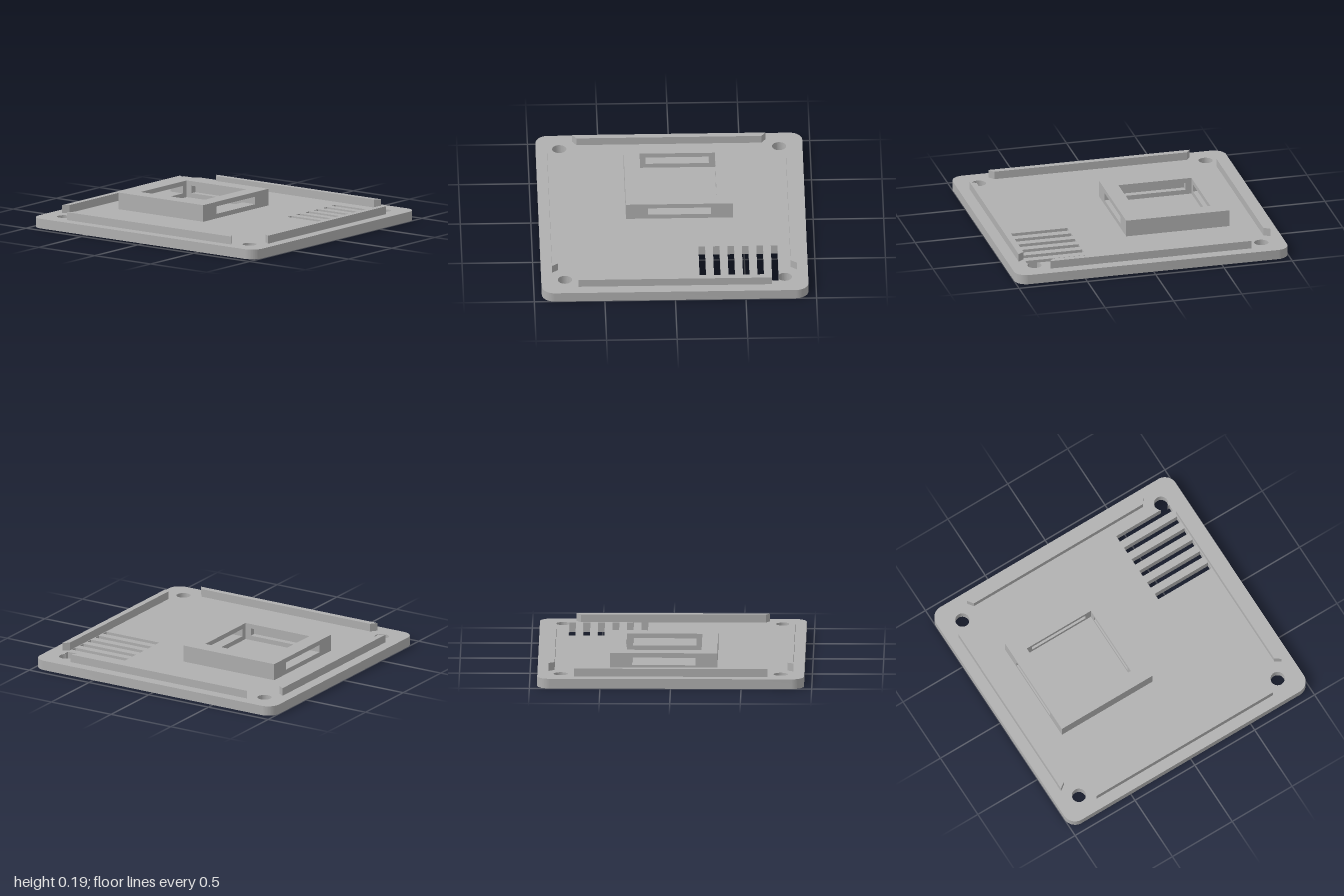
import * as THREE from 'three';
import { toCreasedNormals } from 'three/addons/utils/BufferGeometryUtils.js';

const PLATE_H = 0.07, RAIL_H = 0.057;

// Closed outline from [x, -z] points
const outline = (pts, Type = THREE.Shape) => new Type(pts.map(p => new THREE.Vector2(...p)));
const rect = (x0, x1, y0, y1, Type) => outline([[x0, y0], [x1, y0], [x1, y1], [x0, y1]], Type);

export function createModel() {
  const model = new THREE.Group();
  const grey = new THREE.MeshStandardMaterial({ color: 0xb0b0b0 });
  grey.name = 'grey plastic';

  // Extrude a floor plan upwards from y0 to y1
  function slab(name, shapes, y0, y1, parent = model) {
    let geo = new THREE.ExtrudeGeometry(shapes, { depth: y1 - y0, bevelEnabled: false, curveSegments: 16 });
    geo.rotateX(-Math.PI / 2);
    geo.translate(0, y0, 0);
    geo = toCreasedNormals(geo, 0.5);
    const mesh = new THREE.Mesh(geo, grey);
    mesh.name = name;
    parent.add(mesh);
    return mesh;
  }

  // Base plate with rounded corners
  const W = 1, D = 0.945, R = 0.09;
  const plate = new THREE.Shape();
  [[1, 1, 0], [-1, 1, 1], [-1, -1, 2], [1, -1, 3]].forEach(([sx, sy, q]) =>
    plate.absarc(sx * (W - R), sy * (D - R), R, q * Math.PI / 2, (q + 1) * Math.PI / 2, false));

  // Three plain screw holes
  const hx = 0.83, hy = 0.779, hr = 0.0505;
  for (const [sx, sy] of [[-1, 1], [-1, -1], [1, -1]]) {
    plate.holes.push(new THREE.Path().absarc(sx * hx, sy * hy, hr, 0, Math.PI * 2, true));
  }

  // Vent slots; the rearmost one runs into the fourth screw hole
  const s0 = 0.43, s1 = 0.873, slotW = 0.048, top = 0.737, pitch = 0.1026;
  for (let i = 1; i < 6; i++) {
    const y = top - i * pitch;
    plate.holes.push(rect(s0, s1, y - slotW, y, THREE.Path));
  }
  const a = Math.asin((hy - top) / hr);
  const merged = new THREE.Path();
  merged.moveTo(s0, top - slotW);
  merged.lineTo(s1, top - slotW);
  merged.lineTo(s1, top);
  merged.absarc(hx, hy, hr, -a, Math.PI + a, false);
  merged.lineTo(s0, top);
  merged.closePath();
  plate.holes.push(merged);
  slab('basePlate', plate, 0, PLATE_H);

  // Mitred rails along the four edges
  for (const s of [1, -1]) {
    slab(s > 0 ? 'backRail' : 'frontRail', outline(
      [[-0.737, s * 0.867], [0.737, s * 0.867], [0.705, s * 0.824], [-0.705, s * 0.824]]),
    PLATE_H, PLATE_H + RAIL_H);
    slab(s > 0 ? 'leftRail' : 'rightRail', outline(
      [[s * 0.921, -0.685], [s * 0.921, 0.685], [s * 0.878, 0.655], [s * 0.878, -0.655]]),
    PLATE_H, PLATE_H + RAIL_H);
  }

  // Square frame: solid rings below and above a slotted middle layer
  const frame = new THREE.Group();
  frame.name = 'squareFrame';
  model.add(frame);
  const cx = -0.312, cy = 0.051, o = 0.379, n = 0.267, g = 0.224, deep = 0.045;
  const ring = rect(cx - o, cx + o, cy - o, cy + o);
  ring.holes.push(rect(cx - n, cx + n, cy - n, cy + n, THREE.Path));
  slab('frameBottom', ring, PLATE_H, 0.103, frame);
  slab('frameTop', ring, 0.157, 0.19, frame);
  // Middle layer: open to both sides, with a blind groove in the front and back walls
  const halves = [1, -1].map(s => outline([
    [-o, g], [-n, g], [-n, n], [-g, n], [-g, n + deep], [g, n + deep],
    [g, n], [n, n], [n, g], [o, g], [o, o], [-o, o],
  ].map(([x, y]) => [cx + x, cy + s * y])));
  slab('frameMiddle', halves, 0.103, 0.157, frame);

  return model;
}
